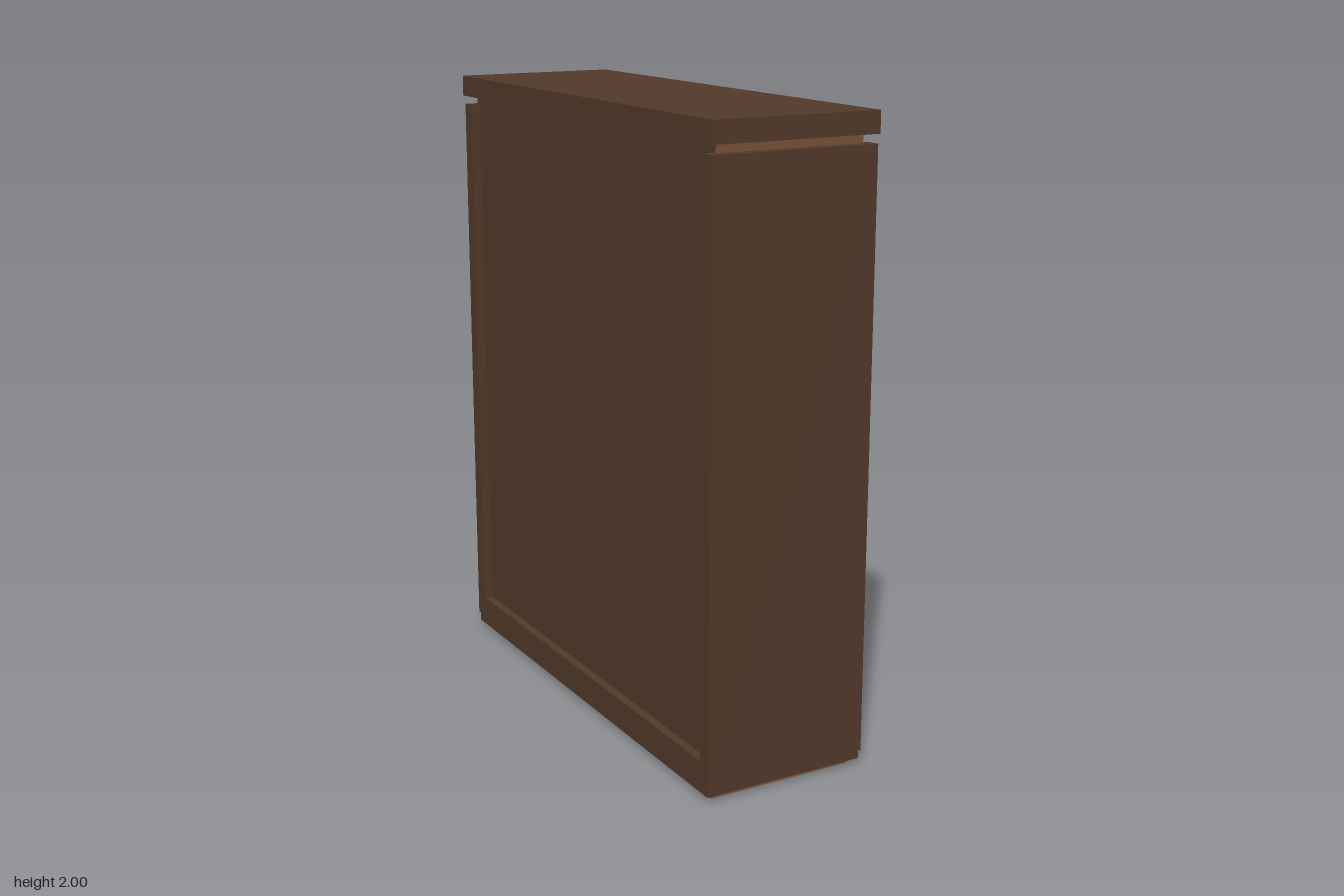
import * as THREE from 'three';

const mat = (color) => new THREE.MeshStandardMaterial({ color });

export function createModel() {
  const darkWood = mat(0x533a2a);
  const midWood = mat(0x7a5239);
  const lightWood = mat(0x986d4d);
  const brass = mat(0xa58a58);

  const wardrobe = new THREE.Group();
  wardrobe.name = 'wardrobe';

  // Box given by its minimum and maximum on each axis
  const box = (name, material, [x0, x1], [y0, y1], [z0, z1], parent = wardrobe) => {
    const mesh = new THREE.Mesh(new THREE.BoxGeometry(x1 - x0, y1 - y0, z1 - z0), material);
    mesh.position.set((x0 + x1) / 2, (y0 + y1) / 2, (z0 + z1) / 2);
    mesh.name = name;
    parent.add(mesh);
    return mesh;
  };

  // Carcass, plinth and top; the doors are on the +x side
  box('carcass', midWood, [-0.29, 0.195], [0, 1.935], [-0.79, 0.79]).material =
    [midWood, darkWood, midWood, darkWood, midWood, midWood]; // dark back and underside
  box('plinth', darkWood, [-0.318, 0.22], [0.02, 0.12], [-0.815, 0.815]);
  box('topSlab', darkWood, [-0.325, 0.225], [1.933, 2], [-0.83, 0.83]);

  for (const s of [1, -1]) {
    const span = (a, b) => (s > 0 ? [a, b] : [-b, -a]);
    box(s > 0 ? 'sidePanelA' : 'sidePanelB', darkWood, [-0.32, 0.222], [0.05, 1.905], span(0.773, 0.825));

    // Two doors per half, hinged on opposite sides so their handles meet
    [[0.011, 0.31], [0.387, 0.44]].forEach(([z, handleZ], i) => {
      const door = new THREE.Group();
      door.name = `door${s > 0 ? 'A' : 'B'}${i + 1}`;
      wardrobe.add(door);
      box('doorLeaf', lightWood, [0.19, 0.218], [0.233, 1.875], span(z, z + 0.356), door);
      box('raisedFrame', midWood, [0.21, 0.243], [0.32, 1.79], span(z + 0.039, z + 0.317), door);
      box('raisedPanel', lightWood, [0.24, 0.267], [0.375, 1.715], span(z + 0.071, z + 0.286), door);

      const handle = new THREE.Mesh(new THREE.CylinderGeometry(0.014, 0.014, 0.08, 16), brass);
      handle.name = 'handle';
      handle.rotation.z = -Math.PI / 2;
      handle.position.set(0.282, 1.065, s * handleZ);
      door.add(handle);
    });
  }
  return wardrobe;
}
